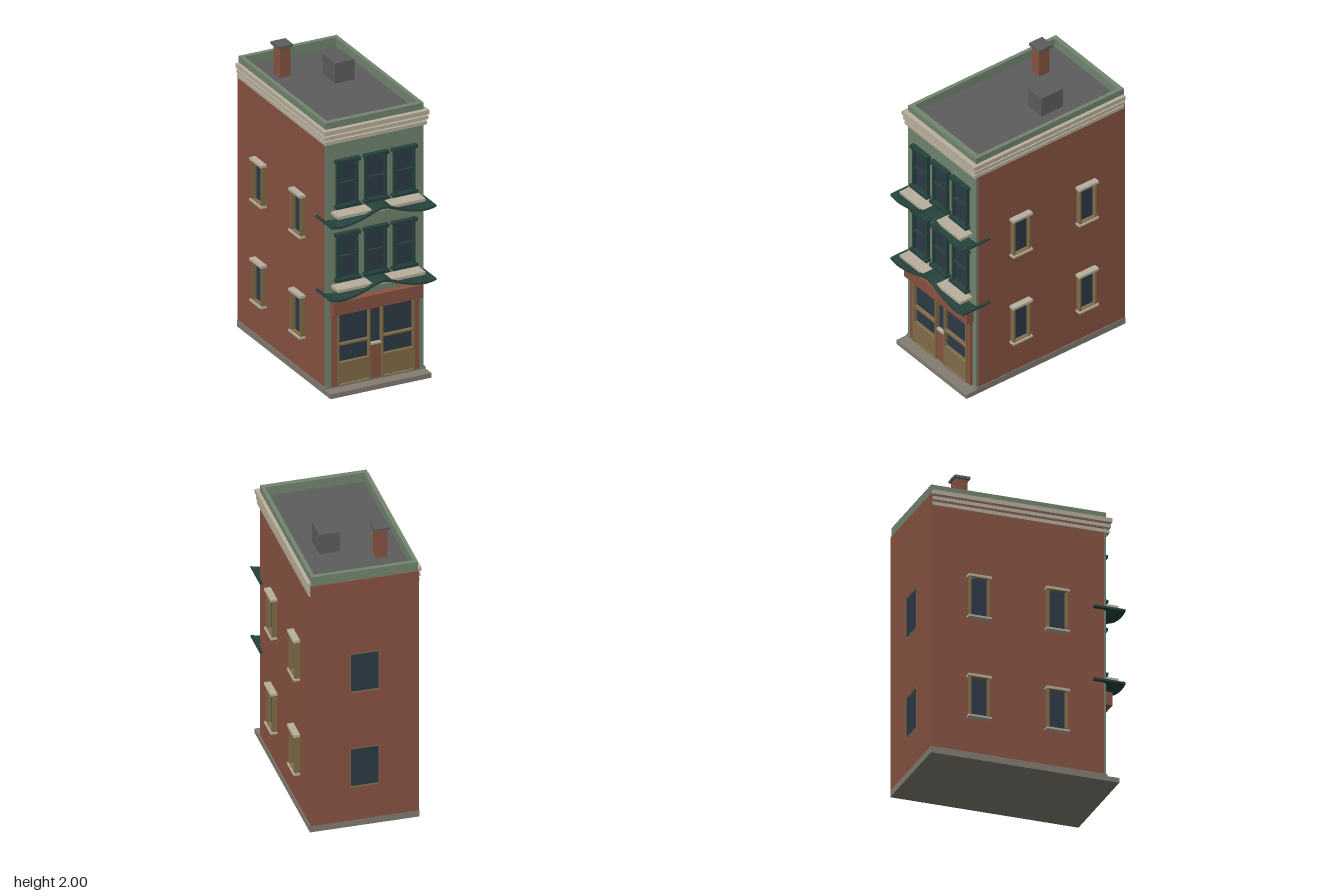
import * as THREE from 'three';

const mat = (name, color, extra = {}) => {
  const m = new THREE.MeshStandardMaterial({ color, ...extra });
  m.name = name;
  return m;
};

export function createModel() {
  const model = new THREE.Group();
  model.name = 'townhouse';

  const brick = mat('brick', 0x885342);
  const green = mat('sageGreen', 0x728570);
  const cream = mat('creamStone', 0xb8af9c);
  const gold = mat('ochreWood', 0x826d48);
  const dark = mat('darkGreen', 0x26433d);
  const glass = mat('glass', 0x2d3a47);
  const stone = mat('greyStone', 0x827c71);
  const roofGrey = mat('roofGrey', 0x5d5d5d);

  const add = (parent, name, geo, m) => {
    const mesh = new THREE.Mesh(geo, m);
    mesh.name = name;
    parent.add(mesh);
    return mesh;
  };
  // box given by its limits on each axis
  const box = (parent, name, m, x0, x1, y0, y1, z0, z1) => {
    const mesh = add(parent, name, new THREE.BoxGeometry(x1 - x0, y1 - y0, z1 - z0), m);
    mesh.position.set((x0 + x1) / 2, (y0 + y1) / 2, (z0 + z1) / 2);
    return mesh;
  };
  const outline = (target, x0, x1, y0, y1) => {
    target.moveTo(x0, y0);
    target.lineTo(x1, y0);
    target.lineTo(x1, y1);
    target.lineTo(x0, y1);
    target.closePath();
    return target;
  };
  // rectangular panel pierced by rectangular holes [x0, x1, y0, y1]
  const panel = (parent, name, m, rect, holes, z0, z1) => {
    const shape = outline(new THREE.Shape(), ...rect);
    holes.forEach(h => shape.holes.push(outline(new THREE.Path(), ...h)));
    const geo = new THREE.ExtrudeGeometry(shape, { depth: z1 - z0, bevelEnabled: false });
    const mesh = add(parent, name, geo, m);
    mesh.position.z = z0;
    return mesh;
  };

  // base and main body
  box(model, 'plinth', stone, -0.355, 0.355, 0, 0.045, -0.645, 0.53);
  box(model, 'frontStep', stone, -0.355, 0.355, 0, 0.032, 0.53, 0.61);
  box(model, 'brickBody', brick, -0.35, 0.35, 0.045, 1.775, -0.635, 0.51);
  panel(model, 'facade', green, [-0.345, 0.345, 0.045, 1.78],
    [[-0.27, 0.27, 0.05, 0.545]], 0.51, 0.525);

  // back wall with two windows
  const backHoles = [[-0.097, 0.097, 0.28, 0.565], [-0.097, 0.097, 0.965, 1.25]];
  panel(model, 'backWall', brick, [-0.35, 0.35, 0.045, 1.78], backHoles, -0.645, -0.635);
  backHoles.forEach(([x0, x1, y0, y1]) => {
    panel(model, 'backWindowFrame', gold, [x0, x1, y0, y1],
      [[x0 + 0.008, x1 - 0.008, y0 + 0.008, y1 - 0.008]], -0.644, -0.635);
    box(model, 'backWindowGlass', glass, x0, x1, y0, y1, -0.639, -0.634);
  });

  // roof and parapet
  box(model, 'roof', roofGrey, -0.325, 0.325, 1.76, 1.782, -0.615, 0.495);
  for (const s of [-1, 1]) {
    const [a, b] = s > 0 ? [0.32, 0.345] : [-0.345, -0.32];
    box(model, 'parapetSide', green, a, b, 1.77, 1.845, -0.64, 0.525);
  }
  box(model, 'parapetFront', green, -0.32, 0.32, 1.77, 1.845, 0.49, 0.525);
  box(model, 'parapetBack', green, -0.32, 0.32, 1.77, 1.845, -0.64, -0.61);

  // three cornice bands around front and sides
  [[1.702, 1.725, 0.358, 0.545], [1.738, 1.76, 0.364, 0.55], [1.774, 1.802, 0.369, 0.558]]
    .forEach(([y0, y1, w, z]) => {
      box(model, 'corniceFront', cream, -w, w, y0, y1, 0.515, z);
      box(model, 'corniceLeft', cream, 0.335, w, y0, y1, -0.635, 0.515);
      box(model, 'corniceRight', cream, -w, -0.335, y0, y1, -0.635, 0.515);
    });

  // chimney and roof hatch
  box(model, 'chimney', brick, -0.21, -0.137, 1.77, 1.982, -0.427, -0.345);
  box(model, 'chimneyCap', roofGrey, -0.226, -0.122, 1.982, 2, -0.438, -0.334);
  box(model, 'roofHatch', roofGrey, 0.055, 0.19, 1.77, 1.92, -0.28, -0.11);

  // side windows
  for (const side of [-1, 1]) for (const z of [0.19, -0.33]) for (const y of [0.28, 0.965]) {
    const win = new THREE.Group();
    win.name = 'sideWindow';
    win.position.set(side * 0.35, y, z);
    win.rotation.y = side * Math.PI / 2;
    const h = 0.29;
    panel(win, 'frame', gold, [-0.068, 0.068, 0, h], [[-0.056, 0.056, 0.012, h - 0.016]], -0.005, 0.033);
    box(win, 'glass', glass, -0.058, 0.058, 0.005, h - 0.01, -0.005, 0.003);
    box(win, 'sill', cream, -0.077, 0.077, -0.003, 0.01, -0.005, 0.043);
    box(win, 'lintel', cream, -0.077, 0.077, h - 0.016, h + 0.001, -0.005, 0.043);
    model.add(win);
  }

  // upper front windows, two rows of three
  for (const y of [0.755, 1.255]) for (const x of [-0.2, 0, 0.2]) {
    const win = new THREE.Group();
    win.name = 'frontWindow';
    win.position.set(x, y, 0.525);
    panel(win, 'frame', dark, [-0.075, 0.075, 0.01, 0.32],
      [[-0.06, 0.06, 0.025, 0.162], [-0.06, 0.06, 0.174, 0.305]], -0.005, 0.023);
    box(win, 'glass', glass, -0.065, 0.065, 0.02, 0.31, -0.005, 0.006);
    box(win, 'sill', dark, -0.087, 0.087, 0.003, 0.022, -0.005, 0.038);
    box(win, 'hood', dark, -0.087, 0.087, 0.307, 0.33, -0.005, 0.034);
    model.add(win);
  }

  // swept canopies with a stone ledge
  const half = [[0, 0.068], [0.05, 0.058], [0.11, 0.035], [0.19, 0.01], [0.27, -0.004], [0.32, -0.004], [0.37, 0.006]];
  const curve = new THREE.SplineCurve(half.map(p => new THREE.Vector2(...p))).getPoints(24);
  const top = [...curve.slice(1).reverse().map(p => new THREE.Vector2(-p.x, p.y)), ...curve];
  const under = top.map(p => new THREE.Vector2(p.x, p.y - 0.013)).reverse();
  const canopyGeo = new THREE.ExtrudeGeometry(new THREE.Shape([...top, ...under]),
    { depth: 0.21, bevelEnabled: false });
  for (const y of [0.685, 1.185]) {
    add(model, 'canopy', canopyGeo, dark).position.set(0, y, 0.437);
    box(model, 'canopyLedge', cream, -0.307, 0.307, y + 0.033, y + 0.052, 0.515, 0.622);
  }

  // storefront
  box(model, 'storefrontLintel', brick, -0.315, 0.315, 0.543, 0.632, 0.52, 0.58);
  for (const s of [-1, 1]) {
    const [a, b] = s > 0 ? [0.27, 0.308] : [-0.308, -0.27];
    box(model, 'storefrontPillar', brick, a, b, 0.045, 0.545, 0.515, 0.54);
    const bay = new THREE.Group();
    bay.name = 'shopBay';
    bay.position.x = s * 0.155;
    panel(bay, 'bayFrame', gold, [-0.116, 0.116, 0.045, 0.548],
      [[-0.102, 0.102, 0.05, 0.064], [-0.104, 0.104, 0.202, 0.318], [-0.104, 0.104, 0.33, 0.54]], 0.512, 0.547);
    box(bay, 'bayGlass', glass, -0.11, 0.11, 0.048, 0.545, 0.508, 0.522);
    model.add(bay);
  }
  box(model, 'centreGlass', glass, -0.04, 0.04, 0.28, 0.545, 0.508, 0.516);
  box(model, 'centreBulkhead', brick, -0.04, 0.04, 0.045, 0.278, 0.508, 0.535);
  box(model, 'centreSill', cream, -0.04, 0.04, 0.275, 0.287, 0.508, 0.541);

  return model;
}
